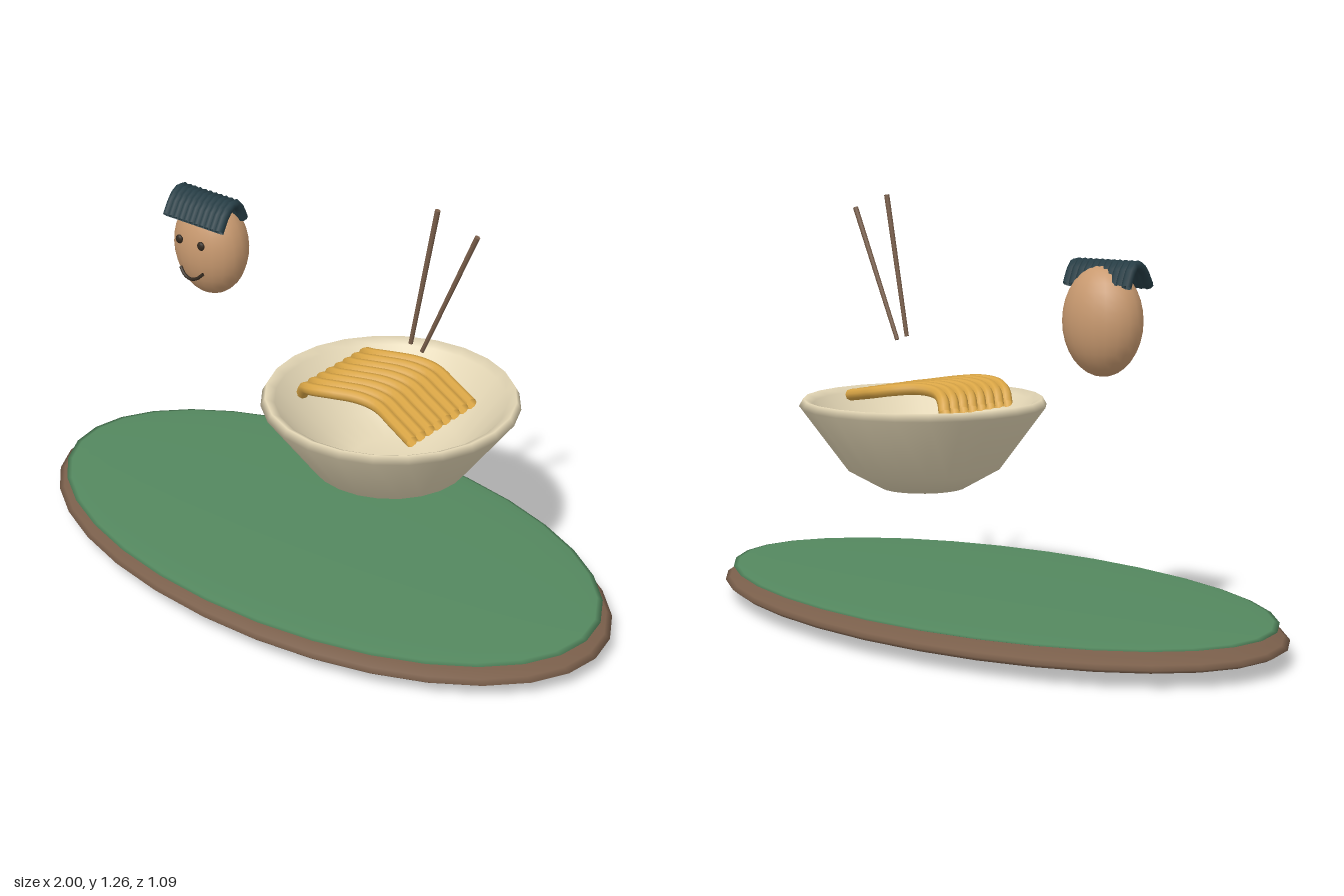
import * as THREE from 'three';

const V = (x, y, z) => new THREE.Vector3(x, y, z);
const mat = (color, side = THREE.FrontSide) => new THREE.MeshStandardMaterial({ color, side });

export function createModel() {
  const model = new THREE.Group();
  const brown = mat(0x7a5f4b), green = mat(0x54885f), cream = mat(0xe2d5b4, THREE.DoubleSide);
  const noodleMat = mat(0xd9a545, THREE.DoubleSide), skin = mat(0xc99a70);
  const hairMat = mat(0x263d45, THREE.DoubleSide), dark = mat(0x33291f, THREE.DoubleSide);

  const add = (parent, name, geometry, material) => {
    const mesh = new THREE.Mesh(geometry, material);
    mesh.name = name;
    parent.add(mesh);
    return mesh;
  };
  const group = (name) => {
    const g = new THREE.Group();
    g.name = name;
    model.add(g);
    return g;
  };
  const ellipsoid = (parent, name, pos, radii, material, w = 32, h = 16) => {
    const m = add(parent, name, new THREE.SphereGeometry(1, w, h), material);
    m.scale.set(...radii);
    m.position.set(...pos);
    return m;
  };
  const strand = (parent, name, points, radius, material, segments = 20) =>
    add(parent, name, new THREE.TubeGeometry(new THREE.CatmullRomCurve3(points), segments, radius, 8), material);

  // Oval island: earth disc with a thin grass layer
  ellipsoid(model, 'earthBase', [0, 0.06, 0], [1, 0.055, 0.545], brown);
  ellipsoid(model, 'grassTop', [0, 0.105, 0], [0.967, 0.017, 0.527], green);

  // Bowl: closed profile, outside then inside
  const profile = [[0, 0.383], [0.131, 0.383], [0.235, 0.442], [0.376, 0.634], [0.363, 0.657],
    [0.335, 0.642], [0.205, 0.48], [0.11, 0.44], [0, 0.44]];
  const bowl = add(model, 'bowl',
    new THREE.LatheGeometry(profile.map(([r, y]) => new THREE.Vector2(r, y)), 24), cream);
  bowl.position.x = 0.263;

  // Wavy noodles laid side by side
  const noodles = group('noodles');
  const wave = [[0.05, 0.642, -0.015], [0.075, 0.675, 0.005], [0.12, 0.693, 0.025], [0.18, 0.7, 0.015],
    [0.25, 0.694, -0.018], [0.31, 0.684, -0.028], [0.39, 0.67, -0.002], [0.48, 0.655, 0.032]];
  for (let i = 0; i < 8; i++) {
    const z = -0.125 + i * 0.04;
    strand(noodles, 'noodle', wave.map(([x, y, dz]) => V(x, y, z + dz)), 0.018, noodleMat, 28);
  }

  // Pair of chopsticks
  const chopsticks = group('chopsticks');
  for (const [a, b] of [[V(0.33, 0.838, 0), V(0.41, 1.265, 0)], [V(0.37, 0.825, 0), V(0.543, 1.223, 0)]]) {
    const dir = b.clone().sub(a);
    const stick = add(chopsticks, 'chopstick', new THREE.CylinderGeometry(0.008, 0.0065, dir.length(), 8), brown);
    stick.position.copy(a).add(b).multiplyScalar(0.5);
    stick.quaternion.setFromUnitVectors(V(0, 1, 0), dir.normalize());
  }

  // Egg-shaped head with eyes and smile
  const head = group('head');
  head.position.set(-0.42, 0.932, 0);
  ellipsoid(head, 'face', [0, 0, 0], [0.123, 0.157, 0.098], skin, 20, 16);
  for (const s of [-1, 1]) ellipsoid(head, 'eye', [s * 0.043, 0.035, 0.094], [0.013, 0.014, 0.008], dark, 12, 8);
  strand(head, 'mouth', [V(-0.045, -0.057, 0.09), V(-0.024, -0.075, 0.096), V(0, -0.082, 0.098),
    V(0.024, -0.075, 0.096), V(0.045, -0.057, 0.09)], 0.005, dark, 16);

  // Row of hair strands bent over the crown, drifting sideways to the fringe
  const hair = new THREE.Group();
  hair.name = 'hair';
  head.add(hair);
  for (let i = 0; i < 11; i++) {
    const x = -0.102 + i * 0.0205;
    strand(hair, 'hairStrand', [V(x - 0.004, 0.1, -0.033), V(x - 0.002, 0.142, -0.012), V(x, 0.16, 0.01),
      V(x + 0.004, 0.147, 0.048), V(x + 0.012, 0.098, 0.092)], 0.0145, hairMat, 8);
  }
  return model;
}
